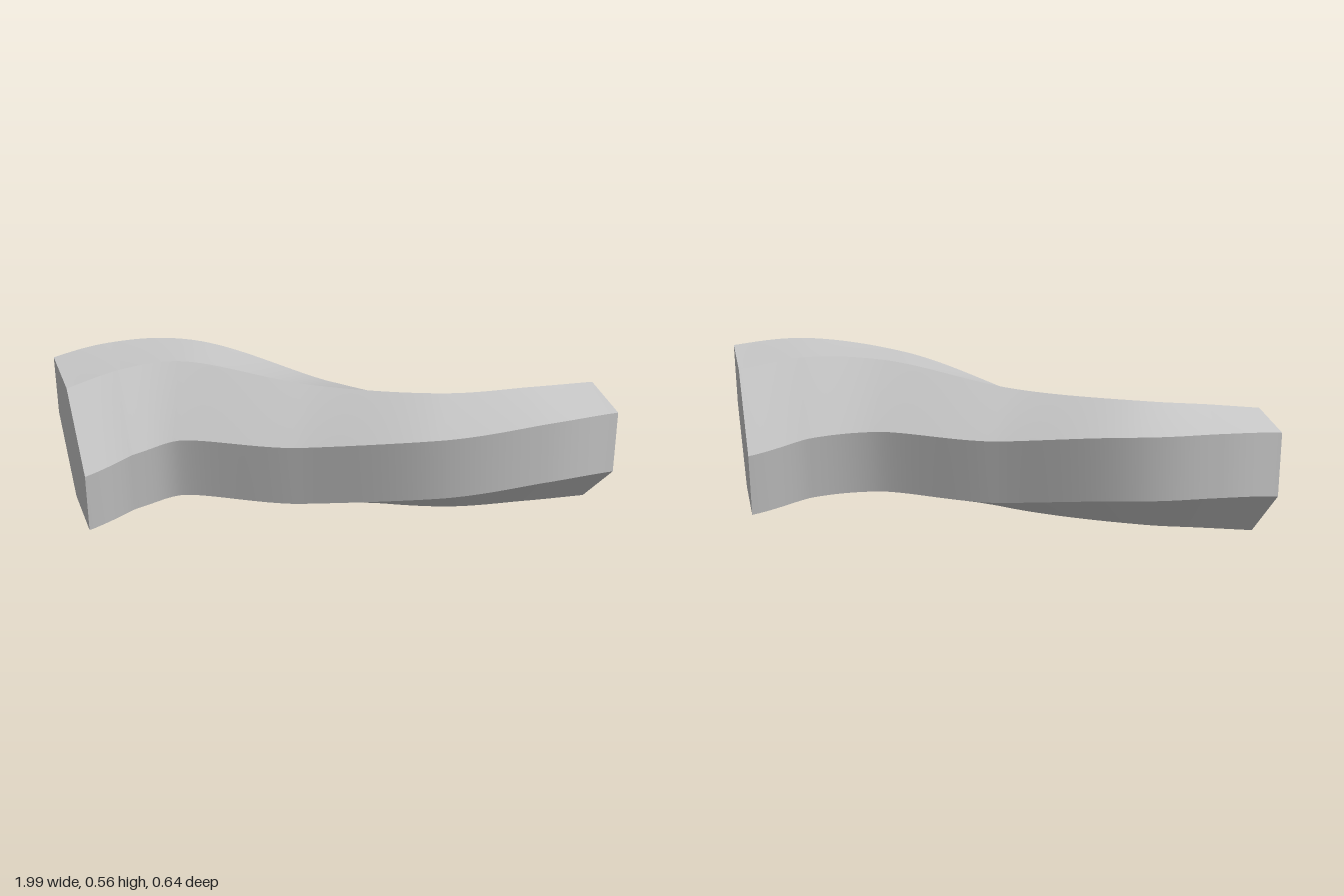
import * as THREE from 'three';

const STEPS = 120;
const R = 0.24;

// Centre line of the bar
const path = new THREE.CatmullRomCurve3([
  [-0.922, 0.245, -0.01], [-0.74, 0.281, -0.077], [-0.53, 0.298, -0.11], [-0.06, 0.272, 0],
  [0.41, 0.311, 0.11], [0.7, 0.321, 0.083], [0.924, 0.296, 0.008],
].map((p) => new THREE.Vector3(...p)));

// Upright hexagon, sheared progressively from one end of the bar to the other
function section(t) {
  const c = path.getPoint(t);
  const tan = path.getTangent(t).setY(0).normalize();
  const u = c.x / 0.92;
  const shear = 0.6 * (1.25 * u - 0.25 * u ** 3);
  return Array.from({ length: 6 }, (_, i) => {
    const a = Math.PI / 6 + (i * Math.PI) / 3;
    const v = R * Math.sin(a);
    const side = R * Math.cos(a);
    const w = side - 0.03 * u * v;
    return new THREE.Vector3(c.x - tan.z * w, c.y + v + shear * side, c.z + tan.x * w);
  });
}

function buildGeometry() {
  const rings = Array.from({ length: STEPS + 1 }, (_, i) => section(i / STEPS));
  const pos = [];
  const index = [];
  const add = (p) => pos.push(p.x, p.y, p.z) / 3 - 1;

  // Six side strips with separate vertices: smooth lengthwise, sharp at the edges
  for (let k = 0; k < 6; k++) {
    let prev = null;
    for (const ring of rings) {
      const cur = [add(ring[k]), add(ring[(k + 1) % 6])];
      if (prev) index.push(prev[0], cur[0], prev[1], cur[0], cur[1], prev[1]);
      prev = cur;
    }
  }

  // Flat end caps
  [rings[0], rings[STEPS]].forEach((ring, end) => {
    const ids = ring.map(add);
    for (let k = 1; k < 5; k++) {
      if (end) index.push(ids[0], ids[k + 1], ids[k]);
      else index.push(ids[0], ids[k], ids[k + 1]);
    }
  });

  const geo = new THREE.BufferGeometry();
  geo.setAttribute('position', new THREE.Float32BufferAttribute(pos, 3));
  geo.setIndex(index);
  geo.computeVertexNormals();
  return geo;
}

export function createModel() {
  const group = new THREE.Group();
  group.name = 'wavyHexagonalBar';
  const bar = new THREE.Mesh(buildGeometry(), new THREE.MeshStandardMaterial({ color: 0xcccccc }));
  bar.name = 'bar';
  group.add(bar);
  return group;
}
